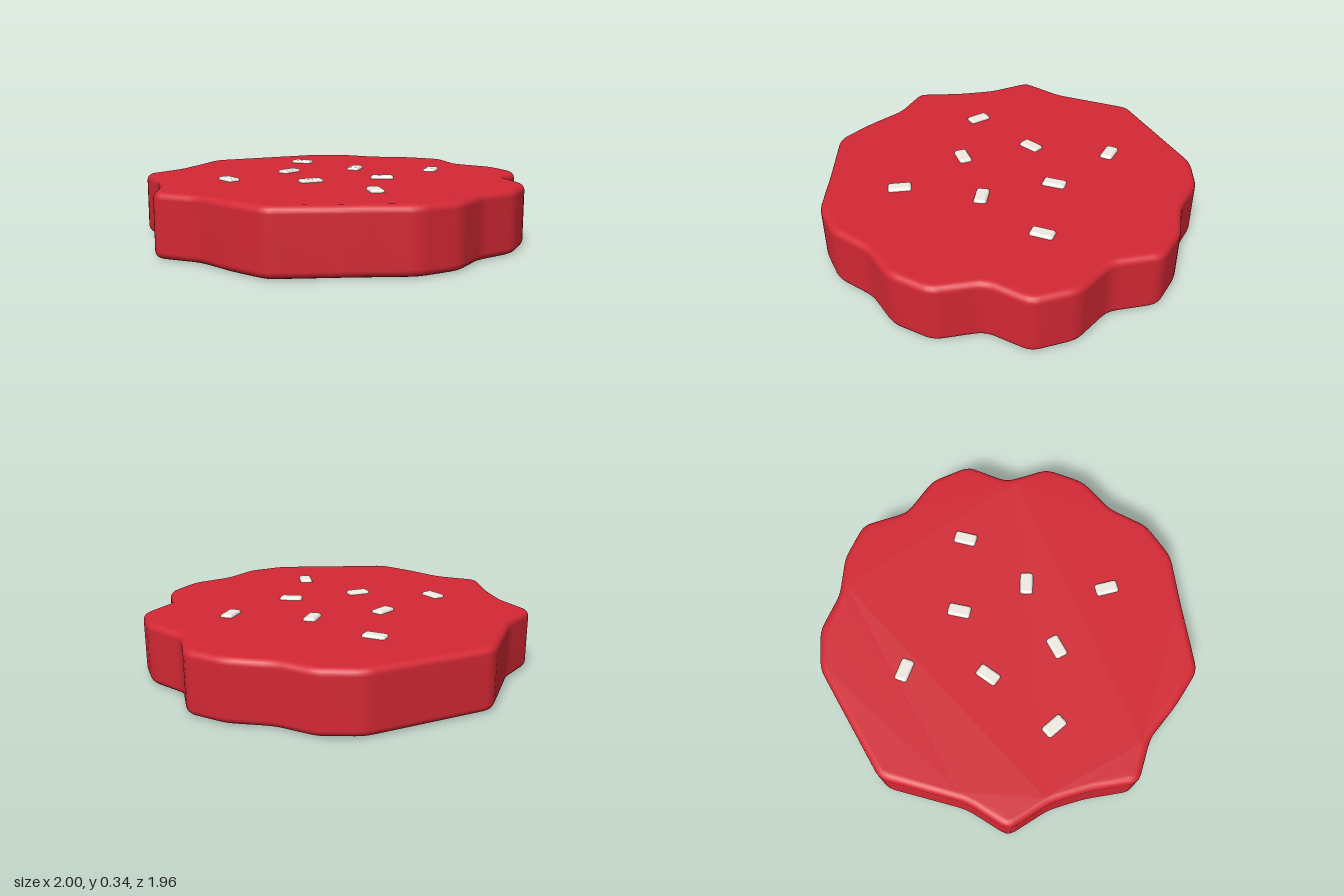
import * as THREE from 'three';
import { mergeVertices } from 'three/addons/utils/BufferGeometryUtils.js';
import { RoundedBoxGeometry } from 'three/addons/geometries/RoundedBoxGeometry.js';

const HEIGHT = 0.32;
const BEVEL = 0.035;

// Wavy outline seen from above, as (x, z)
const OUTLINE = [
  [0, -0.995], [0.62, -0.76], [0.765, -0.605], [0.825, -0.39], [0.95, -0.21], [1.005, 0],
  [0.87, 0.21], [0.89, 0.45], [0.79, 0.65], [0.56, 0.715], [0.43, 0.915], [0.22, 0.98],
  [0, 0.935], [-0.22, 0.975], [-0.43, 0.905], [-0.64, 0.7], [-0.91, 0.45], [-0.93, 0.23],
  [-0.925, 0.01], [-1.01, -0.21], [-0.84, -0.4], [-0.73, -0.56], [-0.65, -0.79], [-0.4, -0.82],
];

// Closed shape whose corners are softened by short curves
function softShape(points, trim) {
  const pts = points.map(([x, z]) => new THREE.Vector2(x, -z));
  const n = pts.length;
  const toward = (a, b) => a.clone().add(b.clone().sub(a).setLength(trim));
  const shape = new THREE.Shape();
  pts.forEach((p, i) => {
    const start = toward(p, pts[(i + n - 1) % n]);
    const end = toward(p, pts[(i + 1) % n]);
    if (i === 0) shape.moveTo(start.x, start.y);
    else shape.lineTo(start.x, start.y);
    shape.quadraticCurveTo(p.x, p.y, end.x, end.y);
  });
  shape.closePath();
  return shape;
}

function createSlab() {
  let geo = new THREE.ExtrudeGeometry(softShape(OUTLINE, 0.045), {
    depth: HEIGHT - 2 * BEVEL, curveSegments: 3,
    bevelThickness: BEVEL, bevelSize: BEVEL, bevelOffset: -BEVEL, bevelSegments: 5,
  });
  geo.rotateX(-Math.PI / 2).translate(0, BEVEL, 0);
  // Weld so the rim and walls shade smoothly
  geo.deleteAttribute('uv');
  geo.deleteAttribute('normal');
  geo = mergeVertices(geo, 1e-4);
  geo.computeVertexNormals();
  const slab = new THREE.Mesh(geo, new THREE.MeshStandardMaterial({ color: 0xd42834 }));
  slab.name = 'slab';
  return slab;
}

// Small pale chips: x, z and the direction of the long side (dx, dz)
const CHIPS = [
  [0.267, -0.497, 7, 21], [-0.513, -0.25, -4, 21], [-0.085, -0.248, 22, -1],
  [0.257, -0.068, 20, -10], [-0.267, 0.093, 21, 9], [0.077, 0.277, 12, 16],
  [0.502, 0.28, 22, -10], [-0.273, 0.522, 12, -16],
];

function createChips() {
  const chips = new THREE.Group();
  chips.name = 'chips';
  const geo = new RoundedBoxGeometry(0.12, 0.036, 0.068, 3, 0.015);
  const mat = new THREE.MeshStandardMaterial({ color: 0xf0ebe2 });
  CHIPS.forEach(([x, z, dx, dz], i) => {
    const chip = new THREE.Mesh(geo, mat);
    chip.name = `chip${i + 1}`;
    chip.position.set(x, HEIGHT - 0.002, z);
    chip.rotation.y = Math.atan2(-dz, dx);
    chips.add(chip);
  });
  return chips;
}

export function createModel() {
  const model = new THREE.Group();
  model.name = 'wavySlabWithChips';
  model.add(createSlab(), createChips());
  return model;
}
